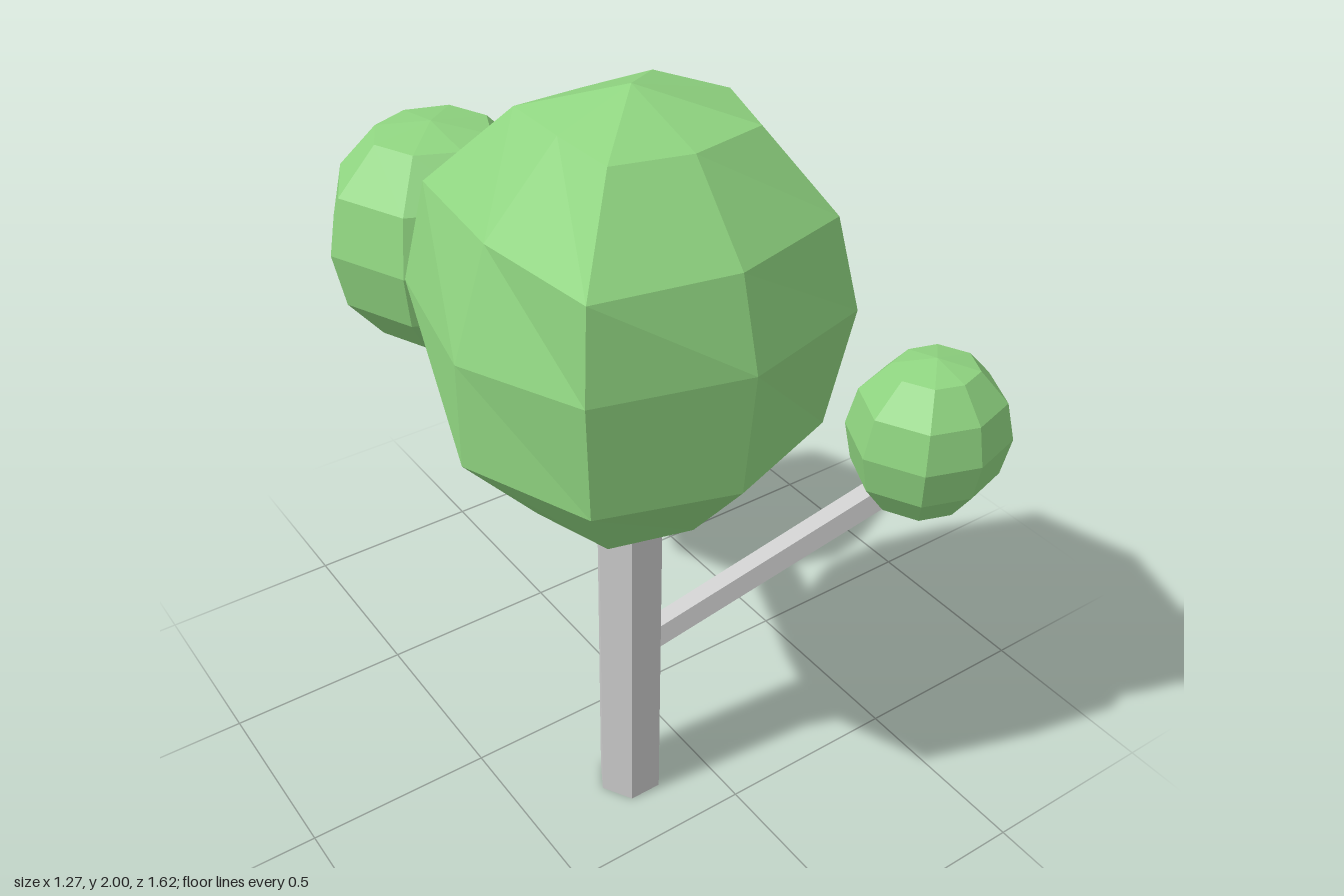
import * as THREE from 'three';

const bark = new THREE.MeshStandardMaterial({ color: 0xcccccc, flatShading: true });
const leaf = new THREE.MeshStandardMaterial({ color: 0x8fd480, flatShading: true });

// Crown: an 8 x 6 sphere whose rings get their own heights and radii.
// radii[ring] lists columns in the order -x, -x+z, +z, +x+z, +x, +x-z, -z, -x-z.
function crown(name, x, z, heights, radii, middle) {
  const geo = new THREE.SphereGeometry(1, 8, 6);
  const pos = geo.attributes.position;
  for (let ring = 0; ring <= 6; ring++) {
    for (let col = 0; col <= 8; col++) {
      const pole = ring === 0 || ring === 6;
      const a = (col / 8) * Math.PI * 2;
      const r = pole ? 0 : radii[ring - 1][col % 8];
      const y = ring === 3 && middle ? middle[col % 8] : heights[ring];
      pos.setXYZ(ring * 9 + col, -Math.cos(a) * r, y, Math.sin(a) * r);
    }
  }
  const flat = geo.toNonIndexed();
  flat.computeVertexNormals();
  const mesh = new THREE.Mesh(flat, leaf);
  mesh.name = name;
  mesh.position.set(x, 0, z);
  return mesh;
}

// Branch: a square beam from one point to another
function branch(name, from, to, width, height) {
  const a = new THREE.Vector3(...from);
  const b = new THREE.Vector3(...to);
  const mesh = new THREE.Mesh(new THREE.BoxGeometry(width, height, a.distanceTo(b)), bark);
  mesh.name = name;
  mesh.position.copy(a).add(b).multiplyScalar(0.5);
  mesh.lookAt(b);
  return mesh;
}

// Ring radii of a regular crown, from the outline of its widest ring
const rounded = (outline) =>
  [0.52, 0.88, 1, 0.9, 0.6].map((k) => outline.map((r) => r * k));

export function createModel() {
  const tree = new THREE.Group();
  tree.name = 'tree';

  // Six-sided trunk with corners on the x axis
  const trunk = new THREE.Mesh(new THREE.CylinderGeometry(0.0875, 0.0875, 1.1, 6), bark);
  trunk.name = 'trunk';
  trunk.position.set(-0.195, 0.55, 0.28);
  trunk.rotation.y = Math.PI / 6;
  tree.add(trunk);

  // Side branches
  tree.add(branch('leftBranch', [-0.17, 0.505, 0.31], [0.425, 0.99, 0.62], 0.055, 0.055));
  tree.add(branch('backBranch', [-0.19, 0.80, 0.255], [-0.19, 1.145, -0.5], 0.09, 0.073));

  // Main crown, uneven
  tree.add(crown('mainCrown', -0.19, 0.28,
    [2, 1.93, 1.74, 1.47, 1.22, 1.01, 1.02],
    [
      [0.18, 0.25, 0.225, 0.27, 0.255, 0.25, 0.18, 0.25],
      [0.36, 0.46, 0.39, 0.44, 0.41, 0.45, 0.445, 0.46],
      [0.445, 0.485, 0.45, 0.495, 0.48, 0.455, 0.485, 0.52],
      [0.445, 0.45, 0.42, 0.44, 0.41, 0.45, 0.465, 0.46],
      [0.26, 0.28, 0.25, 0.27, 0.25, 0.27, 0.26, 0.28],
    ],
    [1.48, 1.52, 1.53, 1.52, 1.43, 1.52, 1.47, 1.49]));

  // Back and left crowns
  tree.add(crown('backCrown', -0.245, -0.525,
    [1.64, 1.615, 1.5, 1.35, 1.2, 1.085, 1.08],
    rounded([0.305, 0.3, 0.305, 0.3, 0.305, 0.305, 0.285, 0.285])));
  tree.add(crown('leftCrown', 0.425, 0.63,
    [1.305, 1.28, 1.2, 1.1, 1, 0.917, 0.915],
    rounded([0.205, 0.19, 0.18, 0.198, 0.208, 0.198, 0.182, 0.197])));

  return tree;
}
